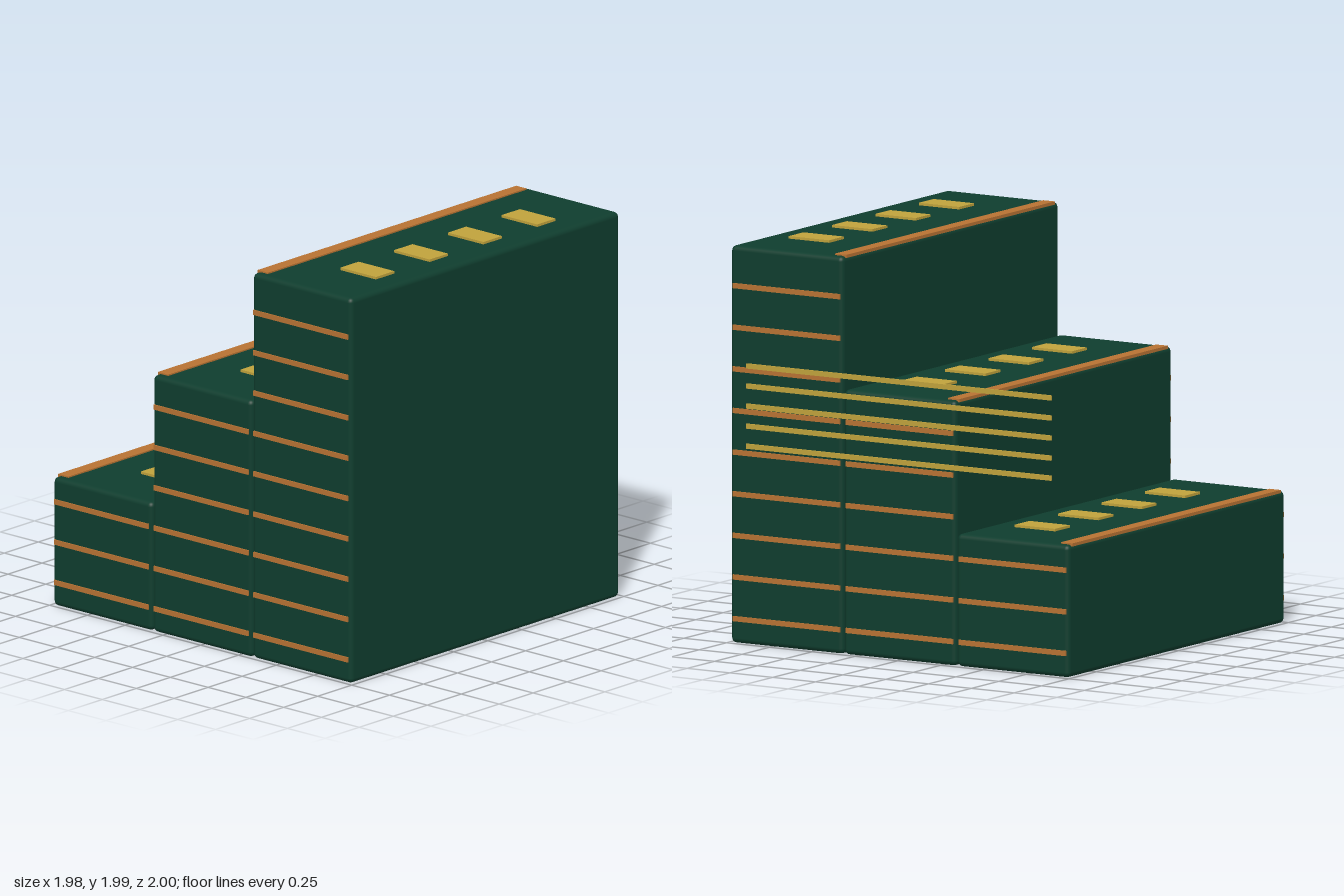
import * as THREE from 'three';
import { RoundedBoxGeometry } from 'three/addons/geometries/RoundedBoxGeometry.js';

const material = (name, color) => {
  const m = new THREE.MeshStandardMaterial({ color });
  m.name = name;
  return m;
};

export function createModel() {
  const green = material('dark green', 0x0f3d2e);
  const copper = material('copper', 0xb87333);
  const brass = material('brass', 0xc0a23c);
  const model = new THREE.Group();
  model.name = 'steppedBlocks';

  const add = (parent, name, geometry, mat, x, y, z) => {
    const mesh = new THREE.Mesh(geometry, mat);
    mesh.name = name;
    mesh.position.set(x, y, z);
    parent.add(mesh);
  };

  const stripe = new THREE.BoxGeometry(0.625, 0.026, 0.016);
  const edgeStrip = new THREE.BoxGeometry(0.068, 0.016, 1.9);
  const pad = new THREE.BoxGeometry(0.236, 0.025, 0.135);

  // Three steps, rising towards +x
  for (let i = 0; i < 3; i++) {
    const step = new THREE.Group();
    step.name = 'step' + (i + 1);
    const x = (i - 1) * 0.66;
    const height = 0.66 * (i + 1);
    add(step, 'block', new RoundedBoxGeometry(0.656, height, 1.975, 3, 0.025), green, x, height / 2, 0.003);

    // Horizontal stripes on the front and back faces
    for (let j = 0; j < 3 * (i + 1); j++) {
      const y = 0.122 + j * 0.2075;
      add(step, 'frontStripe', stripe, copper, x - 0.002, y, 0.989);
      add(step, 'backStripe', stripe, copper, x - 0.002, y, -0.983);
    }

    // Tread: edge strip and four pads
    add(step, 'edgeStrip', edgeStrip, copper, x - 0.294, height - 0.001, 0);
    for (let k = 0; k < 4; k++) {
      add(step, 'pad', pad, brass, x + 0.078, height, (k - 1.5) * 0.395 + 0.002);
    }
    model.add(step);
  }

  // Long rails across the back
  const rail = new THREE.BoxGeometry(1.78, 0.025, 0.01);
  for (let i = 0; i < 5; i++) add(model, 'backRail', rail, brass, -0.005, 0.99 + i * 0.1, -0.996);

  return model;
}
